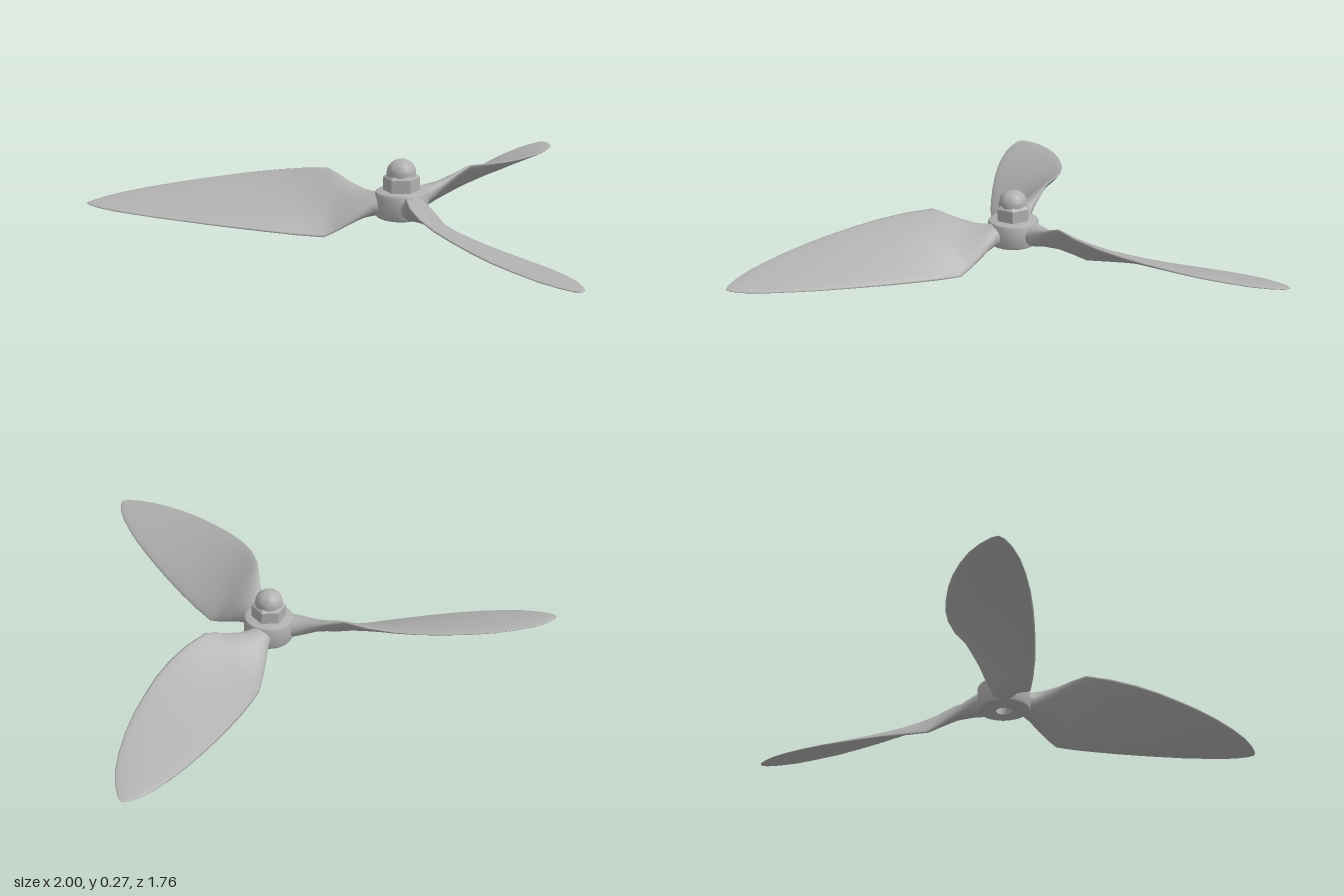
import * as THREE from 'three';
import { toCreasedNormals } from 'three/addons/utils/BufferGeometryUtils.js';

const HUB_Z = 0.275;

// Blade stations: radius, low edge x, high edge x, low edge y, high edge y, half thickness
const STATIONS = [
  [0.05, -0.047, 0.047, 0.108, 0.108, 0.046],
  [0.10, -0.05, 0.05, 0.098, 0.118, 0.044],
  [0.14, -0.06, 0.065, 0.075, 0.14, 0.036],
  [0.19, -0.076, 0.088, 0.048, 0.165, 0.025],
  [0.24, -0.087, 0.115, 0.022, 0.192, 0.018],
  [0.28, -0.096, 0.135, 0.006, 0.209, 0.015],
  [0.37, -0.106, 0.168, 0.016, 0.2, 0.015],
  [0.47, -0.112, 0.186, 0.029, 0.189, 0.014],
  [0.57, -0.113, 0.19, 0.041, 0.178, 0.014],
  [0.67, -0.111, 0.183, 0.053, 0.167, 0.013],
  [0.77, -0.106, 0.171, 0.065, 0.156, 0.012],
  [0.87, -0.097, 0.151, 0.076, 0.144, 0.011],
  [0.96, -0.083, 0.124, 0.086, 0.134, 0.01],
  [1.04, -0.065, 0.093, 0.094, 0.124, 0.009],
  [1.10, -0.043, 0.058, 0.1, 0.116, 0.007],
  [1.14, -0.02, 0.026, 0.105, 0.11, 0.005],
  [1.155, -0.002, 0.004, 0.107, 0.108, 0.001],
];

// Loft of twisted oval sections running along -z
function bladeGeometry() {
  const n = 24, pos = [], idx = [];
  for (const [r, x0, x1, y0, y1, t] of STATIONS) {
    const hx = (x1 - x0) / 2, hy = (y1 - y0) / 2, len = Math.hypot(hx, hy);
    for (let j = 0; j < n; j++) {
      const a = (j / n) * Math.PI * 2, c = Math.cos(a), s = Math.sin(a) * t;
      pos.push((x0 + x1) / 2 + hx * c - (hy / len) * s, (y0 + y1) / 2 + hy * c + (hx / len) * s, -r);
    }
  }
  for (let i = 0; i < STATIONS.length - 1; i++) {
    for (let j = 0; j < n; j++) {
      const k = (j + 1) % n, a = i * n, b = a + n;
      idx.push(a + j, b + j, a + k, b + j, b + k, a + k);
    }
  }
  // tip cap
  const last = (STATIONS.length - 1) * n;
  for (let j = 1; j < n - 1; j++) idx.push(last, last + j + 1, last + j);
  const g = new THREE.BufferGeometry();
  g.setAttribute('position', new THREE.Float32BufferAttribute(pos, 3));
  g.setIndex(idx);
  g.computeVertexNormals();
  return g;
}

function lathe(points, segments) {
  const g = new THREE.LatheGeometry(points.map(([x, y]) => new THREE.Vector2(x, y)), segments);
  return toCreasedNormals(g, 0.6);
}

export function createModel() {
  const metal = new THREE.MeshStandardMaterial({ color: 0xb0b0b0 });
  metal.name = 'grey metal';
  const model = new THREE.Group();
  model.name = 'propeller';
  const add = (name, geometry, y = 0) => {
    const mesh = new THREE.Mesh(geometry, metal);
    mesh.name = name;
    mesh.position.set(0, y, HUB_Z);
    model.add(mesh);
    return mesh;
  };

  // Hub with a shaft bore open at the bottom
  add('hub', lathe([
    [0.03, 0.16], [0.03, 0.06], [0.086, 0.06], [0.094, 0.064], [0.098, 0.072],
    [0.098, 0.148], [0.094, 0.156], [0.086, 0.16], [0.03, 0.16],
  ], 48));

  // Three blades
  const blade = bladeGeometry();
  for (let i = 0; i < 3; i++) add('blade' + (i + 1), blade).rotation.y = (i * Math.PI * 2) / 3;

  // Hexagonal nut with a chamfered top, and its domed cap
  add('nut', toCreasedNormals(new THREE.CylinderGeometry(0.068, 0.068, 0.05, 6), 0.5), 0.183);
  add('nutChamfer', toCreasedNormals(new THREE.CylinderGeometry(0.057, 0.068, 0.01, 6), 0.3), 0.213);
  const dome = [[0.054, 0.21], [0.054, 0.226]];
  for (let i = 1; i <= 10; i++) {
    const a = (i / 10) * Math.PI / 2;
    dome.push([Math.max(0, 0.054 * Math.cos(a)), 0.226 + 0.049 * Math.sin(a)]);
  }
  add('domeCap', lathe(dome, 32));

  return model;
}
